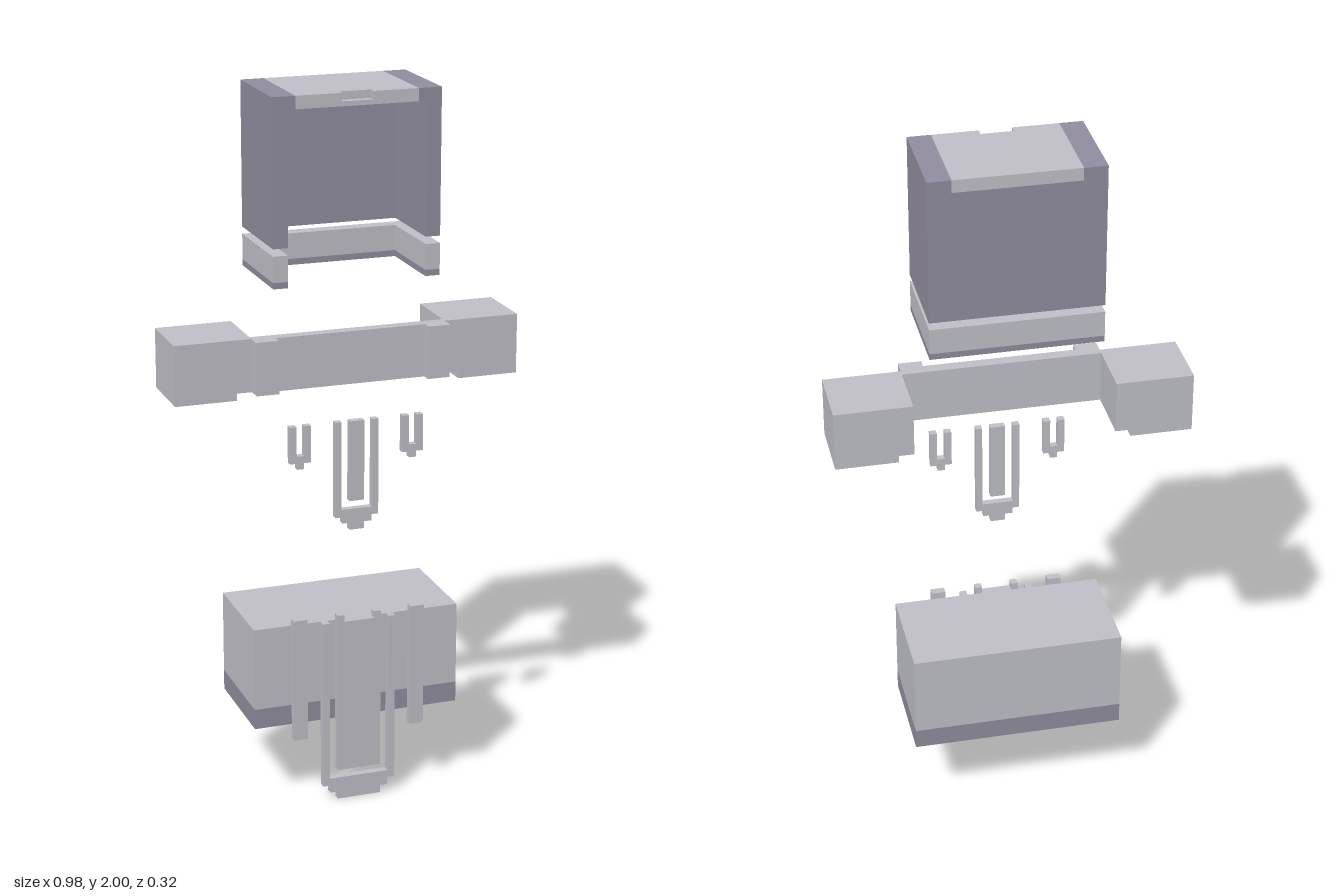
import * as THREE from 'three';

export function createModel() {
  const model = new THREE.Group();
  const light = new THREE.MeshStandardMaterial({ name: 'light grey', color: 0xc1c0c9 });
  const dark = new THREE.MeshStandardMaterial({ name: 'dark purple grey', color: 0x928ea0 });

  const part = (name) => {
    const g = new THREE.Group();
    g.name = name;
    model.add(g);
    return g;
  };
  // Box given by its limits on each axis
  const box = (parent, name, mat, x0, x1, y0, y1, z0, z1) => {
    const m = new THREE.Mesh(new THREE.BoxGeometry(x1 - x0, y1 - y0, z1 - z0), mat);
    m.position.set((x0 + x1) / 2, (y0 + y1) / 2, (z0 + z1) / 2);
    m.name = name;
    parent.add(m);
  };
  // The same box on both sides of x = 0
  const pair = (parent, name, mat, x0, x1, ...rest) => {
    box(parent, name + 'Left', mat, x0, x1, ...rest);
    box(parent, name + 'Right', mat, -x1, -x0, ...rest);
  };
  // Flat outline in x-y, extruded along z
  const plate = (parent, name, points, z0, z1) => {
    const shape = new THREE.Shape(points.map(([x, y]) => new THREE.Vector2(x, y)));
    const m = new THREE.Mesh(new THREE.ExtrudeGeometry(shape, { depth: z1 - z0, bevelEnabled: false }), light);
    m.position.z = z0;
    m.name = name;
    parent.add(m);
  };
  const mirrored = (half) => [...half, ...half.map(([x, y]) => [-x, y]).reverse()];
  // Rectangular frame of four walls, t thick
  const frame = (parent, name, mat, x, y0, y1, z0, z1, t) => {
    pair(parent, name + 'Side', mat, x - t, x, y0, y1, z0, z1);
    box(parent, name + 'Back', mat, -x + t, x - t, y0, y1, z0, z0 + t);
    box(parent, name + 'Front', mat, -x + t, x - t, y0, y1, z1 - t, z1);
  };

  const F = 0.137; // front plane of the hood and the base box

  // Hood: open at the front and below, with a pale roof
  const hood = part('hood');
  pair(hood, 'hoodSide', dark, 0.193, 0.234, 1.6, 2, -F, F);
  box(hood, 'hoodBack', dark, -0.193, 0.193, 1.6, 1.965, -F, -F + 0.04);
  pair(hood, 'roofEdge', dark, 0.17, 0.193, 1.965, 2, -F, F);
  box(hood, 'roofLower', light, -0.17, 0.17, 1.965, 1.978, -F, F);
  box(hood, 'roofUpper', light, -0.17, 0.17, 1.978, 2, -F, 0.115);
  pair(hood, 'roofNotchSide', light, 0.044, 0.17, 1.978, 2, 0.115, F);

  // Collar: U-shaped, with a dark lower edge
  const collar = part('collar');
  for (const [name, mat, y0, y1] of [['collar', light, 1.509, 1.58], ['collarEdge', dark, 1.492, 1.509]]) {
    pair(collar, name + 'Side', mat, 0.193, 0.234, y0, y1, -F, F);
    box(collar, name + 'Back', mat, -0.193, 0.193, y0, y1, -F, -F + 0.04);
  }

  // Shoulder blocks joined by a thin front plate with two straps
  const shoulders = part('shoulders');
  pair(shoulders, 'shoulderBlock', light, 0.276, 0.49, 1.196, 1.344, -0.116, 0.073);
  pair(shoulders, 'shoulderFoot', light, 0.318, 0.49, 1.176, 1.196, -0.116, 0.073);
  pair(shoulders, 'shoulderStrap', light, 0.212, 0.276, 1.196, 1.344, 0.055, 0.115);
  box(shoulders, 'chestPlate', light, -0.212, 0.212, 1.196, 1.344, 0.055, 0.088);

  // Small chest ornaments
  const ornaments = part('chestOrnaments');
  box(ornaments, 'centreBar', light, -0.021, 0.021, 0.878, 1.106, 0.117, F);
  plate(ornaments, 'centreFork', mirrored([
    [0.021, 0.795], [0.021, 0.815], [0.042, 0.815], [0.042, 0.833], [0.062, 0.833],
    [0.062, 1.106], [0.044, 1.106], [0.044, 0.855],
  ]), 0.117, F);
  for (const s of [-1, 1]) {
    plate(ornaments, s > 0 ? 'sideForkLeft' : 'sideForkRight', mirrored([
      [0.01, 0.985], [0.01, 1.002], [0.03, 1.002], [0.03, 1.106], [0.011, 1.106], [0.011, 1.022],
    ]).map(([x, y]) => [x + s * 0.161, y]), 0.117, F);
  }

  // Base box: hollow, open below, with a dark band outside
  const base = part('baseBox');
  const B = -0.159;
  box(base, 'baseLid', light, -0.298, 0.298, 0.495, 0.535, B, F);
  frame(base, 'baseWall', light, 0.298, 0.298, 0.495, B, F, 0.04);
  frame(base, 'baseBand', dark, 0.298, 0.26, 0.298, B, F, 0.02);
  frame(base, 'baseLining', light, 0.278, 0.26, 0.298, B + 0.02, F - 0.02, 0.02);
  frame(base, 'baseRim', dark, 0.298, 0.24, 0.26, B, F, 0.04);

  // Hanging front panel, stepped frame and side strips
  const apron = part('frontApron');
  pair(apron, 'sideStrip', light, 0.151, 0.191, 0.198, 0.555, F, 0.159);
  box(apron, 'hangingPanel', light, -0.063, 0.063, 0.088, 0.535, F, 0.159);
  pair(apron, 'panelTab', light, 0.043, 0.063, 0.535, 0.555, F, 0.159);
  plate(apron, 'steppedFrame', mirrored([
    [0.063, 0], [0.063, 0.022], [0.085, 0.022], [0.085, 0.044], [0.106, 0.044],
    [0.106, 0.535], [0.086, 0.535], [0.086, 0.065],
  ]), F, 0.159);

  return model;
}
